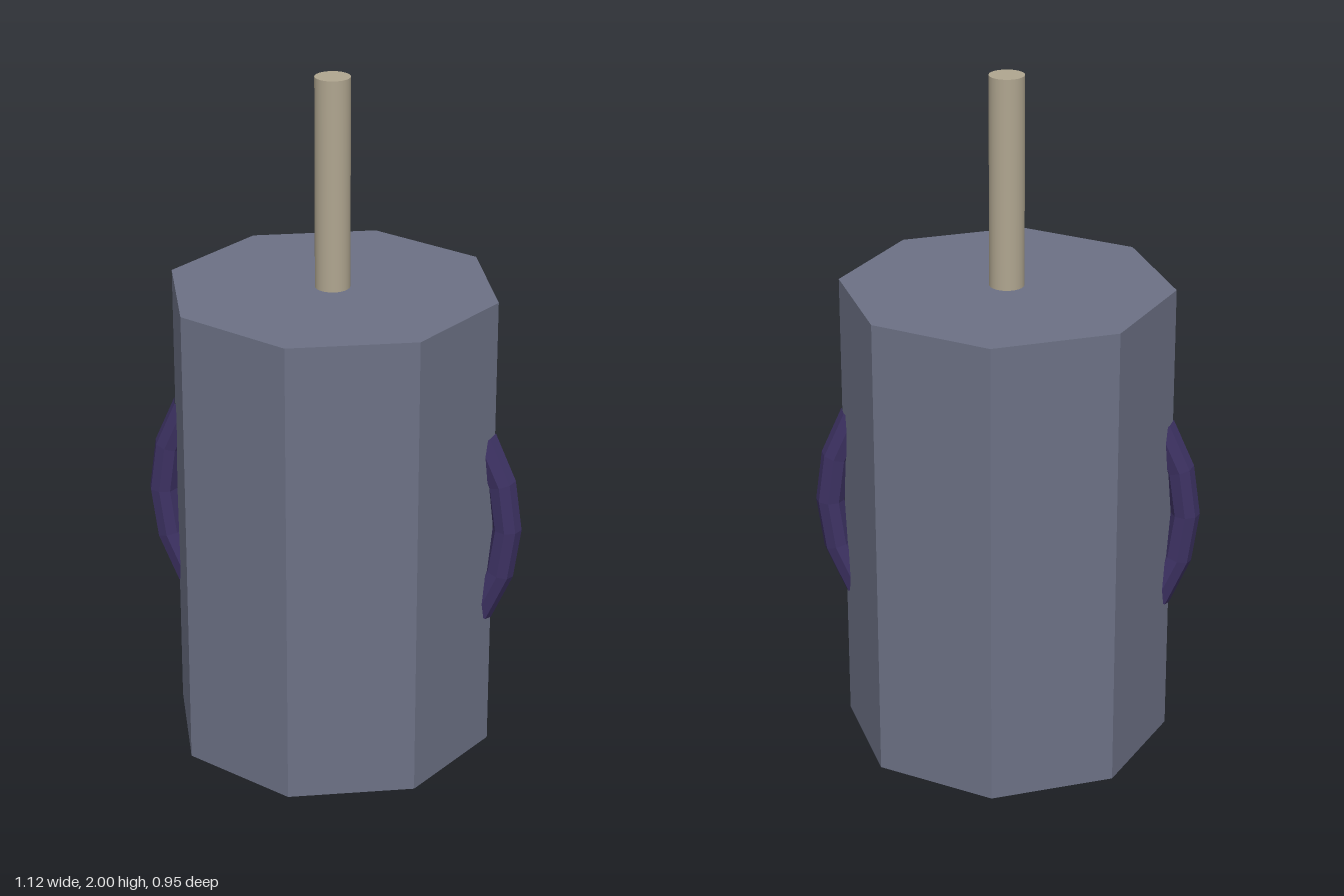
import * as THREE from 'three';

const mat = (name, color) => {
  const m = new THREE.MeshStandardMaterial({ color });
  m.name = name;
  return m;
};

export function createModel() {
  const group = new THREE.Group();
  const slate = mat('slate', 0x6c7185);
  const wood = mat('paleWood', 0xb0a690);
  const purple = mat('darkPurple', 0x3d3263);
  slate.flatShading = true;
  purple.flatShading = true;

  const add = (name, geometry, material, y) => {
    const mesh = new THREE.Mesh(geometry, material);
    mesh.name = name;
    mesh.position.y = y;
    group.add(mesh);
    return mesh;
  };

  // Octagonal body with corners on the axes
  const bodyHeight = 1.39;
  add('body', new THREE.CylinderGeometry(0.477, 0.477, bodyHeight, 8), slate, bodyHeight / 2);

  // Rod standing on the lid
  const rodHeight = 2 - bodyHeight;
  add('rod', new THREE.CylinderGeometry(0.05, 0.05, rodHeight, 24), wood, bodyHeight + rodHeight / 2);

  // Curved side handles, their ends sunk into the body
  const arc = 1.1;
  for (const [name, turn] of [['leftHandle', 0], ['rightHandle', Math.PI]]) {
    const handle = new THREE.TorusGeometry(0.52, 0.042, 8, 4, arc);
    handle.rotateZ(turn - arc / 2);
    add(name, handle, purple, 0.7);
  }
  return group;
}
